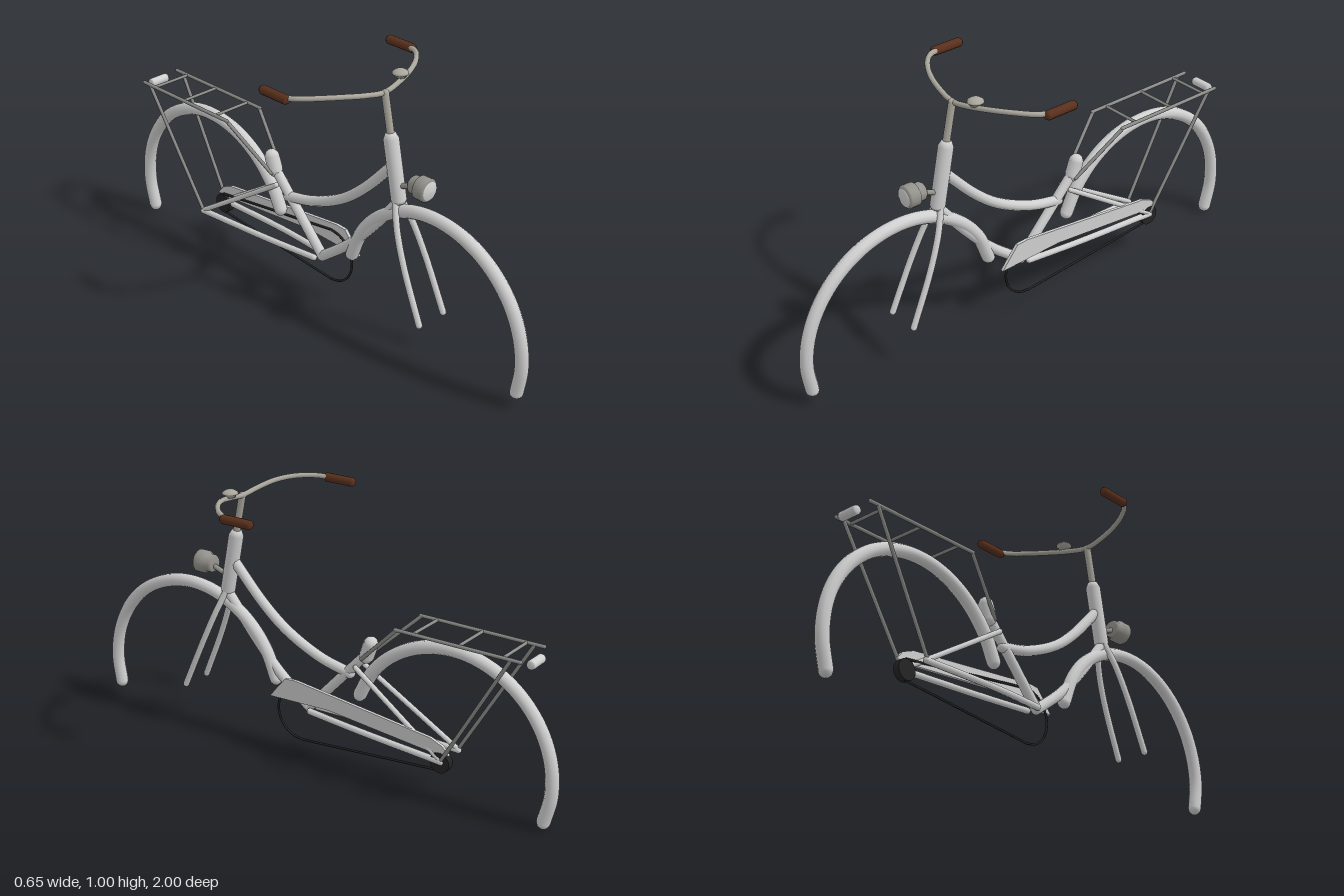
import * as THREE from 'three';

const V = (x, y, z) => new THREE.Vector3(x, y, z);
const material = (name, color) => {
  const m = new THREE.MeshStandardMaterial({ color });
  m.name = name;
  return m;
};

export function createModel() {
  const frameGrey = material('frame grey', 0xd0d0d0);
  const steel = material('warm steel', 0xa9a69c);
  const wire = material('rack grey', 0x8c8c8a);
  const lampGrey = material('lamp grey', 0x94928c);
  const brown = material('grip brown', 0x5a301c);
  const black = material('chain black', 0x242424);
  const model = new THREE.Group();
  model.name = 'bicycleFrame';

  const add = (name, geometry, mat, parent = model) => {
    const mesh = new THREE.Mesh(geometry, mat);
    mesh.name = name;
    parent.add(mesh);
    return mesh;
  };

  // Round tube through points, with rounded ends
  const tube = (name, points, r, mat, sides = 10) => {
    const group = new THREE.Group();
    group.name = name;
    const curve = points.length === 2
      ? new THREE.LineCurve3(points[0], points[1])
      : new THREE.CatmullRomCurve3(points);
    const steps = points.length === 2 ? 1 : points.length * 6;
    add(name + 'Tube', new THREE.TubeGeometry(curve, steps, r, sides), mat, group);
    for (const p of [points[0], points[points.length - 1]]) {
      add(name + 'End', new THREE.SphereGeometry(r, sides, 6), mat, group).position.copy(p);
    }
    model.add(group);
    return group;
  };

  // Solid of revolution whose axis runs from one point towards another
  const turned = (name, profile, from, to, mat, sides = 18) => {
    const points = profile.map(([r, h]) => new THREE.Vector2(r, h));
    const mesh = add(name, new THREE.LatheGeometry(points, sides), mat);
    mesh.position.copy(from);
    mesh.quaternion.setFromUnitVectors(V(0, 1, 0), to.clone().sub(from).normalize());
    return mesh;
  };

  // Mudguards: arcs around the two axles
  const arc = (name, cz, startDeg, endDeg) => {
    const points = [];
    for (let i = 0; i <= 12; i++) {
      const a = THREE.MathUtils.degToRad(startDeg + (endDeg - startDeg) * i / 12);
      points.push(V(0, 0.16 + 0.403 * Math.sin(a), cz + 0.403 * Math.cos(a)));
    }
    tube(name, points, 0.025, frameGrey);
  };
  arc('frontMudguard', 0.572, -15, 165);
  arc('rearMudguard', -0.572, 20, 200);

  // Main frame
  turned('headTube', [[0, 0], [0.022, 0], [0.028, 0.012], [0.028, 0.235], [0.018, 0.257], [0, 0.257]],
    V(0, 0.56, 0.405), V(0, 0.815, 0.355), frameGrey);
  tube('topTube', [V(0, 0.69, 0.37), V(0, 0.555, 0.24), V(0, 0.47, 0.13), V(0, 0.4, -0.02), V(0, 0.37, -0.15)], 0.02, frameGrey);
  tube('downTube', [V(0, 0.56, 0.4), V(0, 0.415, 0.28), V(0, 0.3, 0.17), V(0, 0.19, 0.03)], 0.02, frameGrey);
  tube('seatTube', [V(0, 0.19, 0.03), V(0, 0.46, -0.22)], 0.019, frameGrey);
  tube('seatCollar', [V(0, 0.455, -0.22), V(0, 0.505, -0.238)], 0.028, frameGrey);

  // Paired fork blades, stays and rack wires
  for (const s of [1, -1]) {
    const side = s > 0 ? 'left' : 'right';
    tube(side + 'ForkBlade', [V(s * 0.015, 0.57, 0.4), V(s * 0.04, 0.48, 0.435), V(s * 0.055, 0.36, 0.485),
      V(s * 0.062, 0.165, 0.57)], 0.012, frameGrey);
    tube(side + 'ChainStay', [V(s * 0.025, 0.185, 0.01), V(s * 0.045, 0.178, -0.22), V(s * 0.058, 0.163, -0.575)], 0.012, frameGrey);
    tube(side + 'SeatStay', [V(s * 0.025, 0.41, -0.19), V(s * 0.058, 0.165, -0.575)], 0.01, frameGrey);
    tube(side + 'RackRail', [V(s * 0.082, 0.622, -0.39), V(s * 0.082, 0.622, -0.875)], 0.007, wire, 8);
    tube(side + 'RackFrontStrut', [V(s * 0.082, 0.622, -0.395), V(s * 0.025, 0.45, -0.215)], 0.007, wire, 8);
    tube(side + 'RackRearStrut', [V(s * 0.082, 0.622, -0.84), V(s * 0.06, 0.17, -0.575)], 0.007, wire, 8);
  }
  for (const z of [-0.46, -0.64, -0.81]) {
    tube('rackCrossbar', [V(-0.082, 0.622, z), V(0.082, 0.622, z)], 0.006, wire, 8);
  }

  // Tail lamp
  turned('tailLamp', [[0, 0], [0.014, 0], [0.017, 0.006], [0.017, 0.076], [0.014, 0.082], [0, 0.082]],
    V(-0.041, 0.6, -0.89), V(1, 0.6, -0.89), frameGrey);

  // Stem, handlebar and grips
  tube('stem', [V(0, 0.81, 0.357), V(0, 0.95, 0.328)], 0.014, steel);
  const half = [[0.305, 0.972, 0.15], [0.285, 0.977, 0.2], [0.23, 0.98, 0.255], [0.16, 0.975, 0.295], [0.08, 0.962, 0.317]];
  tube('handlebar', [
    ...half.map(([x, y, z]) => V(-x, y, z)),
    V(0, 0.951, 0.325),
    ...half.slice().reverse().map(([x, y, z]) => V(x, y, z)),
  ], 0.01, steel);
  for (const s of [1, -1]) {
    turned('grip', [[0, 0], [0.012, 0], [0.017, 0.008], [0.017, 0.122], [0.012, 0.13], [0, 0.13]],
      V(s * 0.306, 0.971, 0.048), V(s * 0.306, 0.971, 1), brown, 12);
  }

  // Bell
  turned('bell', [[0, 0], [0.02, 0], [0.022, 0.008], [0.03, 0.012], [0.028, 0.018], [0.016, 0.026], [0, 0.028]],
    V(0.098, 0.972, 0.305), V(0.098, 2, 0.305), steel);

  // Headlamp with lens and bracket
  turned('headlamp', [[0, 0], [0.028, 0], [0.034, 0.008], [0.034, 0.03], [0.043, 0.036], [0.043, 0.072], [0.034, 0.08], [0, 0.08]],
    V(0, 0.658, 0.463), V(0, 0.658, 1), lampGrey, 20);
  turned('headlampLens', [[0.034, 0], [0.022, 0.005], [0, 0.007]],
    V(0, 0.658, 0.543), V(0, 0.658, 1), frameGrey, 20);
  tube('headlampBracket', [V(0, 0.65, 0.47), V(0, 0.625, 0.4)], 0.01, lampGrey);

  // Chain guard plate
  const guard = new THREE.Shape([
    [0.165, 0.222], [0.135, 0.26], [0.095, 0.307], [0.05, 0.31], [-0.53, 0.245], [-0.58, 0.225],
    [-0.605, 0.195], [-0.58, 0.187], [-0.1, 0.232], [0.06, 0.226],
  ].map(([z, y]) => new THREE.Vector2(-z, y)));
  const plate = add('chainGuard', new THREE.ExtrudeGeometry(guard, { depth: 0.012, bevelEnabled: false }), frameGrey);
  plate.rotation.y = Math.PI / 2;
  plate.position.x = 0.05;

  // Chain loop and rear sprocket
  const chain = [];
  for (let i = 0; i <= 8; i++) {
    const a = Math.PI / 2 - Math.PI * i / 8;
    chain.push(V(0.045, 0.178 + 0.105 * Math.sin(a), 0.03 + 0.108 * Math.cos(a)));
  }
  tube('chainFront', chain, 0.0045, black, 6);
  tube('chainLowerRun', [V(0.045, 0.073, 0.03), V(0.045, 0.123, -0.57)], 0.0045, black, 6);
  tube('chainUpperRun', [V(0.045, 0.283, 0.03), V(0.045, 0.2, -0.57)], 0.0045, black, 6);
  const sprocket = add('rearSprocket', new THREE.CylinderGeometry(0.039, 0.039, 0.026, 18), black);
  sprocket.rotation.z = Math.PI / 2;
  sprocket.position.set(0.05, 0.16, -0.57);

  return model;
}
